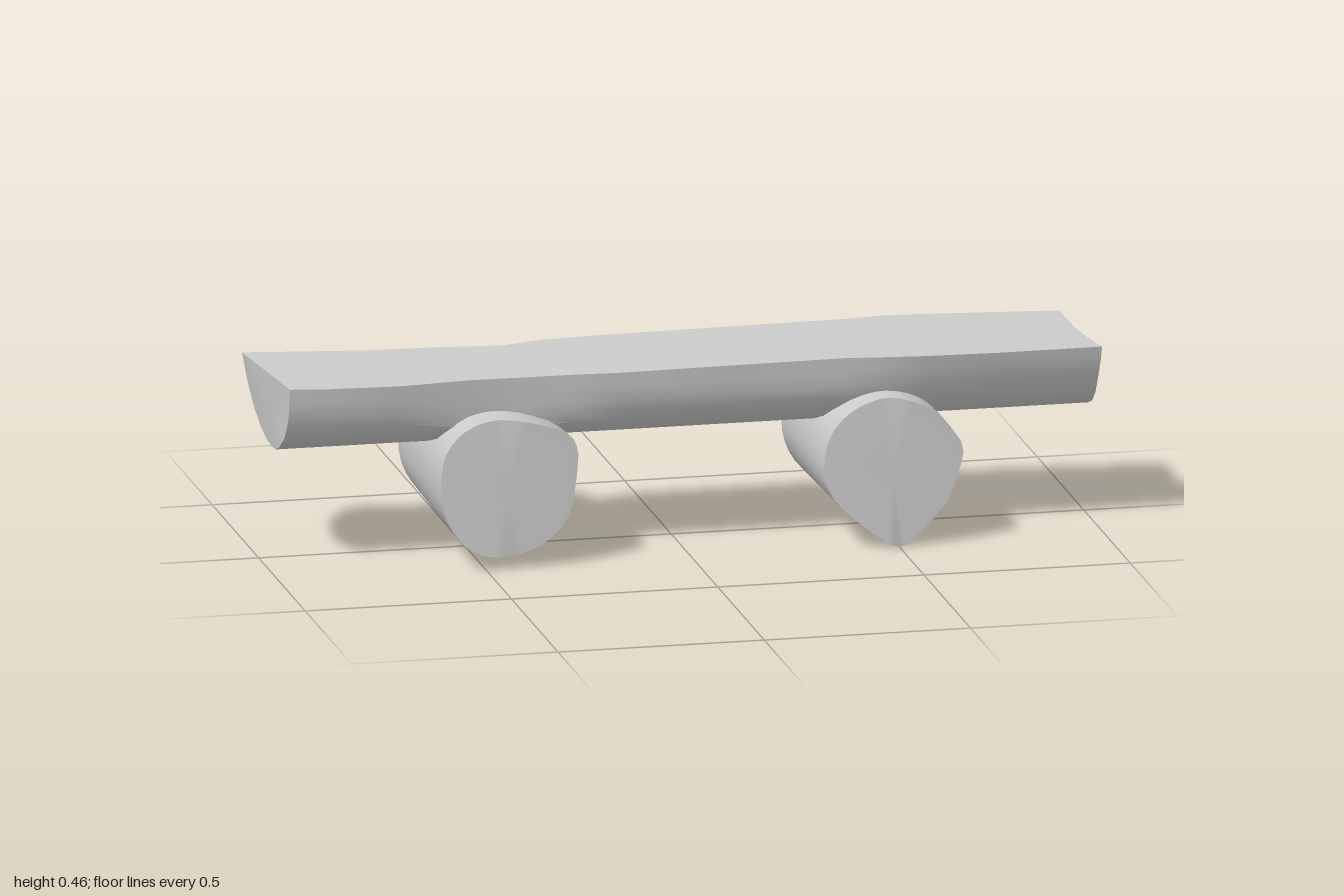
import * as THREE from 'three';
import { toCreasedNormals } from 'three/addons/utils/BufferGeometryUtils.js';

const material = new THREE.MeshStandardMaterial({ color: 0xcccccc });

// Skin closed rings (counter-clockwise seen from the last ring) and cap both ends.
function loft(name, rings) {
  const n = rings[0].length, pos = [];
  const tri = (...pts) => pts.forEach((p) => pos.push(p.x, p.y, p.z));
  for (let i = 0; i + 1 < rings.length; i++) {
    for (let j = 0; j < n; j++) {
      const k = (j + 1) % n, a = rings[i], b = rings[i + 1];
      tri(a[j], a[k], b[k]);
      tri(a[j], b[k], b[j]);
    }
  }
  const first = rings[0], last = rings[rings.length - 1];
  const middle = (r) => r.reduce((s, p) => s.add(p), new THREE.Vector3()).divideScalar(n);
  const c0 = middle(first), c1 = middle(last);
  for (let j = 0; j < n; j++) {
    const k = (j + 1) % n;
    tri(c0, first[k], first[j]);
    tri(c1, last[j], last[k]);
  }
  const geometry = new THREE.BufferGeometry();
  geometry.setAttribute('position', new THREE.Float32BufferAttribute(pos, 3));
  const mesh = new THREE.Mesh(toCreasedNormals(geometry, 0.6), material);
  mesh.name = name;
  return mesh;
}

// Half-log seat: wavy edges trimmed from one constant rounded underside.
function seat() {
  // x, back edge, front edge, top height
  const stations = [
    [-1, 0.18, 0.18, 0.46], [-0.87, 0.17, 0.185, 0.457], [-0.7, 0.155, 0.185, 0.454],
    [-0.52, 0.16, 0.152, 0.45], [-0.38, 0.14, 0.158, 0.451], [-0.28, 0.163, 0.167, 0.453],
    [-0.15, 0.163, 0.185, 0.456], [0.1, 0.168, 0.181, 0.457], [0.38, 0.175, 0.174, 0.457],
    [0.46, 0.177, 0.185, 0.457], [0.57, 0.19, 0.198, 0.457], [0.75, 0.177, 0.199, 0.455],
    [1, 0.15, 0.197, 0.455],
  ];
  // Underside quarter: distance from the middle, depth fraction
  const quarter = [[0.2, 0], [0.188, 0.2], [0.171, 0.41], [0.156, 0.56], [0.139, 0.7],
    [0.1, 0.87], [0.05, 0.97], [0, 1]];
  const rings = stations.map(([x, back, front, top], i) => {
    const ring = [];
    const add = (z, d) => {
      let px = x;
      if (i === 0) px = -1 + 0.035 * Math.max((z + 0.18) / 0.36, d * 0.9);
      if (i === stations.length - 1) px = 1 - 0.025 * (1 - d) * Math.min(1, (0.197 - z) / 0.15);
      ring.push(new THREE.Vector3(px, top - d * (top - 0.275), z));
    };
    const reach = (z, d, edge) => (d === 0 ? edge : Math.min(z, edge - 0.025 * d));
    quarter.forEach(([z, d]) => add(reach(z, d, front), d));
    quarter.slice(0, -1).reverse().forEach(([z, d]) => add(-reach(z, d, back), d));
    [-0.5, 0, 0.5].forEach((f) => add(f < 0 ? f * back : f * front, 0));
    return ring;
  });
  return loft('seat', rings);
}

// Supporting log: irregular front outline running back to a rounder end.
function supportLog(name, outline, cx, cy, radius) {
  const curve = new THREE.CatmullRomCurve3(
    outline.map(([x, y]) => new THREE.Vector3(x, y, 0)), true, 'centripetal');
  const front = curve.getPoints(40).slice(0, -1);
  const back = front.map((p) => {
    const a = Math.atan2(p.y - cy, p.x - cx);
    const x = cx + radius * Math.cos(a), y = cy + radius * Math.sin(a);
    return new THREE.Vector3(x, y, -0.238 - 0.008 * Math.sin(a + 0.4));
  });
  front.forEach((p) => { p.z = 0.235 - 0.04 * (p.y - 0.2) * (p.x < cx ? 1 : -0.3); });
  return loft(name, [back, front]);
}

export function createModel() {
  const model = new THREE.Group();
  model.name = 'logBench';
  model.add(
    seat(),
    supportLog('rightSupportLog', [
      [-0.61, 0.21], [-0.6, 0.14], [-0.565, 0.08], [-0.52, 0.045], [-0.46, 0.036],
      [-0.4, 0.045], [-0.34, 0.078], [-0.3, 0.13], [-0.285, 0.2], [-0.28, 0.29],
      [-0.3, 0.325], [-0.38, 0.357], [-0.46, 0.369], [-0.52, 0.36], [-0.57, 0.33], [-0.602, 0.28],
    ], -0.445, 0.203, 0.164),
    supportLog('leftSupportLog', [
      [0.318, 0.2], [0.335, 0.14], [0.38, 0.088], [0.46, 0.025], [0.5, 0.004],
      [0.53, 0.015], [0.57, 0.055], [0.62, 0.115], [0.64, 0.17], [0.655, 0.24],
      [0.605, 0.31], [0.55, 0.352], [0.48, 0.369], [0.43, 0.36], [0.38, 0.335], [0.335, 0.285],
    ], 0.487, 0.201, 0.167),
  );
  return model;
}
